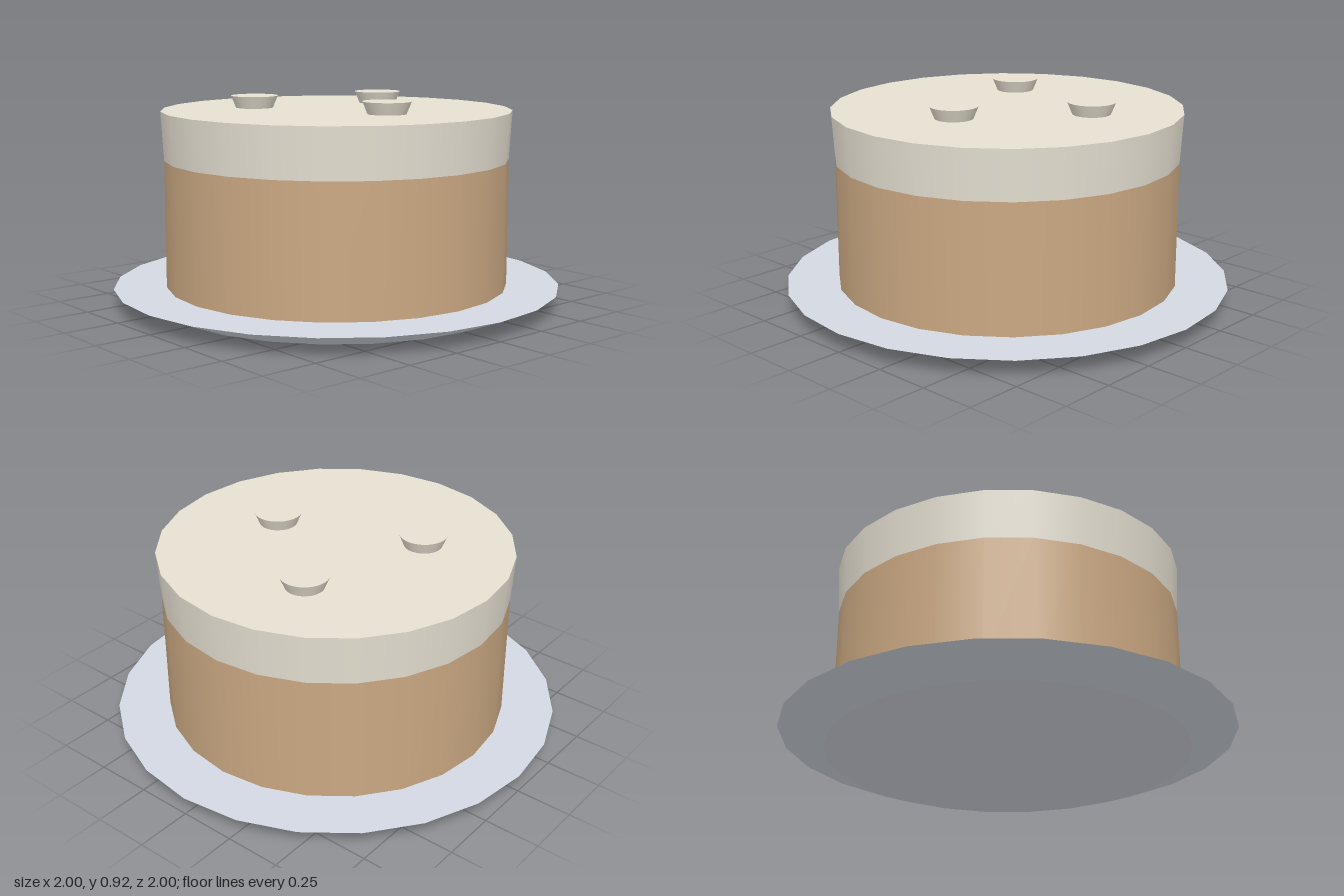
import * as THREE from 'three';

function material(name, color) {
  const m = new THREE.MeshStandardMaterial({ color });
  m.name = name;
  return m;
}

export function createModel() {
  const cream = material('cream icing', 0xe6e0d2);
  const sponge = material('brown sponge', 0xcaa882);
  const china = material('grey china', 0xd4d8e2);

  const model = new THREE.Group();
  model.name = 'cakeOnPlate';

  // Adds an upright round part spanning from y0 to y1
  function addRound(name, mat, rTop, rBottom, y0, y1, sides, x = 0, z = 0) {
    const mesh = new THREE.Mesh(new THREE.CylinderGeometry(rTop, rBottom, y1 - y0, sides), mat);
    mesh.name = name;
    mesh.position.set(x, (y0 + y1) / 2, z);
    model.add(mesh);
  }

  // Flared plate, sponge body and slightly overhanging icing layer
  addRound('plate', china, 1, 0.8, 0, 0.08, 24);
  addRound('sponge', sponge, 0.767, 0.767, 0.08, 0.65, 24);
  addRound('icing', cream, 0.78, 0.767, 0.645, 0.862, 24);

  // Three small cream dollops on top
  const dollops = [[0.33, 0], [-0.135, -0.37], [-0.3, 0.23]];
  for (const [x, z] of dollops) {
    addRound('dollop', cream, 0.106, 0.083, 0.86, 0.916, 32, x, z);
  }

  return model;
}
